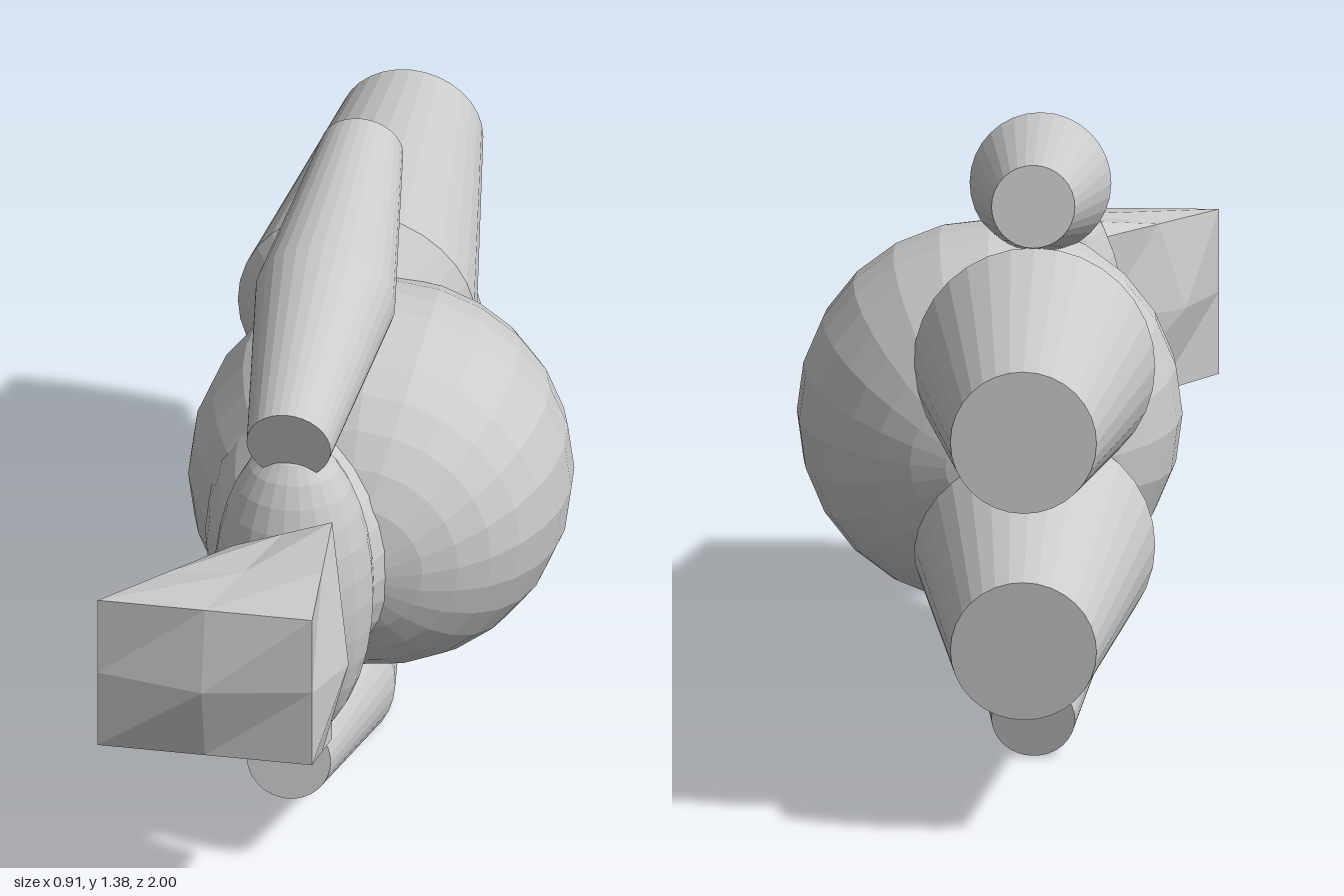
import * as THREE from 'three';

const MID = 0.705; // height of the mirror plane
const AXIS_X = -0.09; // x of the limbs and shoulders
const grey = new THREE.MeshStandardMaterial({ color: 0xcccccc, flatShading: true });

function addMesh(group, name, geometry) {
  const mesh = new THREE.Mesh(geometry, grey);
  mesh.name = name;
  group.add(mesh);
  return mesh;
}

function addEllipsoid(group, name, radii, position, poleAlongZ) {
  const geometry = new THREE.SphereGeometry(1, 24, 16);
  if (poleAlongZ) geometry.rotateX(Math.PI / 2);
  geometry.scale(...radii);
  addMesh(group, name, geometry).position.set(...position);
}

// Tapered limb turned around the line between two points; profile is [radius, fraction]
function addLimb(group, name, from, to, profile) {
  const start = new THREE.Vector3(...from);
  const axis = new THREE.Vector3(...to).sub(start);
  const length = axis.length();
  const rings = profile.map(([r, t]) => new THREE.Vector2(r, t * length));
  const points = [new THREE.Vector2(0, 0), ...rings, new THREE.Vector2(0, length)];
  const mesh = addMesh(group, name, new THREE.LatheGeometry(points, 32));
  mesh.position.copy(start);
  mesh.quaternion.setFromUnitVectors(new THREE.Vector3(0, 1, 0), axis.normalize());
}

// Skewed block whose face centres are pushed outwards
function headGeometry() {
  const geometry = new THREE.BoxGeometry(2, 2, 2, 2, 2, 2);
  const p = geometry.attributes.position;
  const lerp = THREE.MathUtils.lerp;
  for (let i = 0; i < p.count; i++) {
    const u = p.getX(i), v = p.getY(i), w = p.getZ(i);
    const s = (u + 1) / 2, t = (w + 1) / 2;
    let x = lerp(lerp(-0.2, -0.46, t), 0.025, s);
    let z = lerp(0.695, 0.955, t);
    const halfHeight = lerp(lerp(0.2, 0.287, s), 0.192, t);
    if (v === 0 && w === 0) x += 0.06 * u;
    if (v === 0 && u === 0) z += 0.045 * w;
    p.setXYZ(i, x, MID + v * halfHeight, z);
  }
  geometry.computeVertexNormals();
  return geometry;
}

export function createModel() {
  const figure = new THREE.Group();
  figure.name = 'figure';

  // Body
  addEllipsoid(figure, 'belly', [0.43, 0.43, 0.44], [0.02, MID, 0.03], true);
  addEllipsoid(figure, 'chest', [0.24, 0.3, 0.33], [AXIS_X, MID, 0.27], true);
  addEllipsoid(figure, 'shoulders', [0.18, 0.39, 0.16], [AXIS_X, MID, 0.535], false);
  addMesh(figure, 'head', headGeometry());

  // Mirrored limbs
  for (const [side, s] of [['upper', 1], ['lower', -1]]) {
    addLimb(figure, side + 'Arm',
      [AXIS_X, MID + s * 0.415, 0.6], [AXIS_X, MID + s * 0.597, -0.353],
      [[0.095, 0], [0.158, 0.5], [0.093, 1]]);
    addLimb(figure, side + 'Leg',
      [AXIS_X, MID + s * 0.243, -0.99], [AXIS_X, MID + s * 0.2, -0.13],
      [[0.163, 0], [0.27, 0.815], [0.15, 1]]);
  }
  return figure;
}
